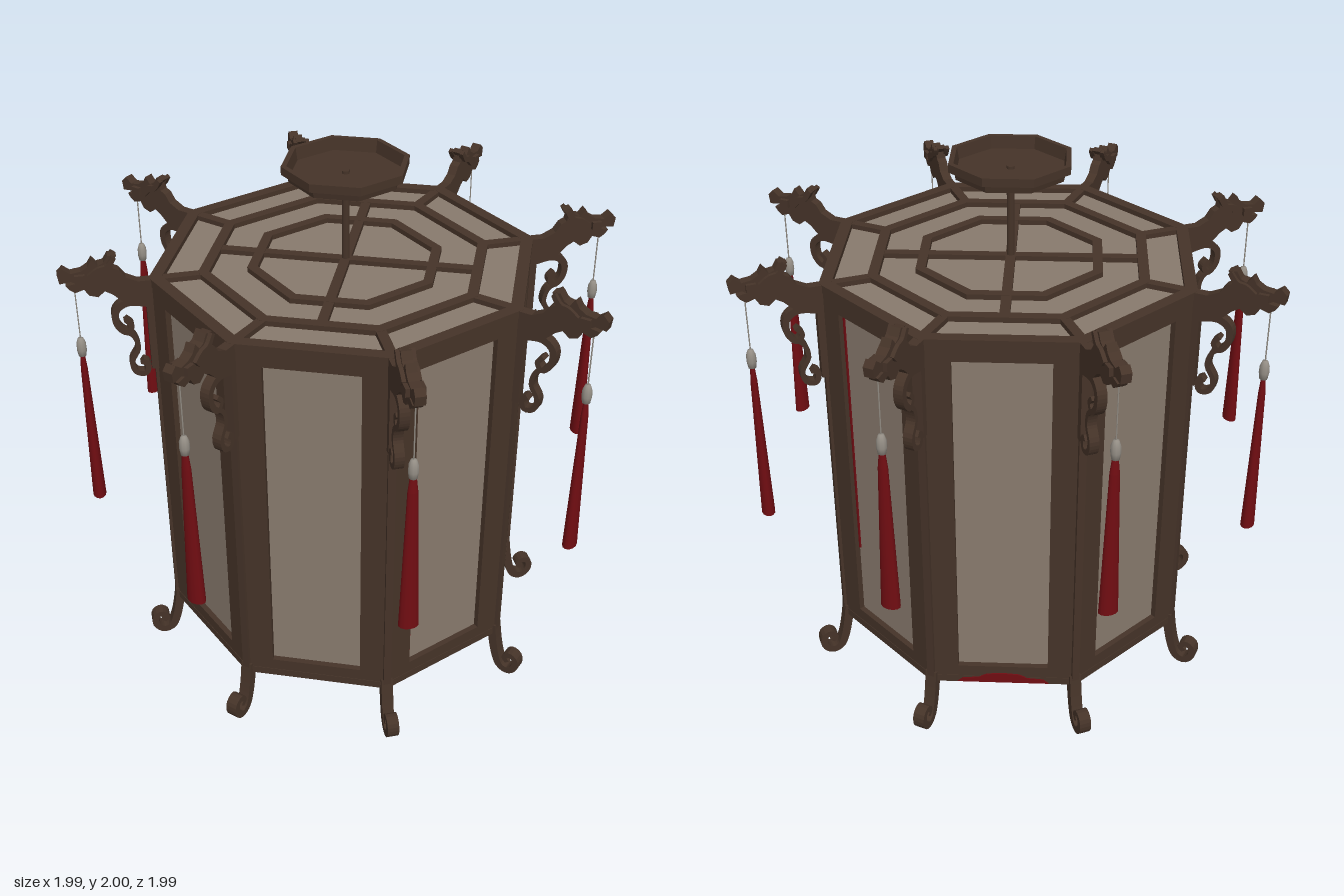
import * as THREE from 'three';

const material = (name, color) => {
  const m = new THREE.MeshStandardMaterial({ color });
  m.name = name;
  return m;
};

export function createModel() {
  const wood = material('dark wood', 0x453328);
  const paper = material('paper pane', 0x887a6d);
  const red = material('red silk', 0x700d12);
  const bead = material('grey bead', 0x958f86);

  const model = new THREE.Group();
  model.name = 'octagonalLantern';
  const STEP = Math.PI / 4;
  const R = 0.7, APOTHEM = R * Math.cos(STEP / 2), HALF = R * Math.sin(STEP / 2);
  const BOTTOM = 0.18, TOP = 1.63;

  // Everything eightfold lives in one turned group; local +x is a corner
  const body = new THREE.Group();
  body.name = 'lanternBody';
  body.rotation.y = -THREE.MathUtils.degToRad(34.8);
  model.add(body);

  const add = (parent, name, geometry, mat, x = 0, y = 0, z = 0) => {
    const mesh = new THREE.Mesh(geometry, mat);
    mesh.name = name;
    mesh.position.set(x, y, z);
    parent.add(mesh);
    return mesh;
  };
  const spoke = (name, k) => {
    const g = new THREE.Group();
    g.name = name;
    g.rotation.y = -k * STEP;
    body.add(g);
    return g;
  };
  const vectors = (pts) => pts.map(([x, y]) => new THREE.Vector2(x, y));
  const octagon = (r) => Array.from({ length: 8 }, (_, i) =>
    new THREE.Vector2(r * Math.cos(i * STEP), r * Math.sin(i * STEP)));
  const slab = (shape, width) => new THREE.ExtrudeGeometry(shape,
    { depth: width, bevelEnabled: false, curveSegments: 10 }).translate(0, 0, -width / 2);

  // Flat scroll: a curve thickened in its plane and extruded sideways
  const scroll = (pts, t0, t1, width, n = 28) => {
    const curve = new THREE.SplineCurve(vectors(pts));
    const a = [], b = [];
    for (let i = 0; i <= n; i++) {
      const u = i / n, p = curve.getPoint(u), d = curve.getTangent(u);
      const h = THREE.MathUtils.lerp(t0, t1, u) / 2;
      a.push(new THREE.Vector2(p.x - d.y * h, p.y + d.x * h));
      b.unshift(new THREE.Vector2(p.x + d.y * h, p.y - d.x * h));
    }
    return slab(new THREE.Shape([...a, ...b]), width);
  };

  // Side frames with recessed panes
  const frameShape = new THREE.Shape(vectors([
    [-HALF, BOTTOM], [HALF, BOTTOM], [HALF, TOP], [-HALF, TOP]]));
  frameShape.holes.push(new THREE.Path(vectors([
    [-0.165, 0.255], [-0.165, 1.55], [0.165, 1.55], [0.165, 0.255]])));
  const frameGeo = slab(frameShape, 0.04).rotateY(Math.PI / 2);
  const paneGeo = new THREE.BoxGeometry(0.008, 1.32, 0.35);
  for (let k = 0; k < 8; k++) {
    const side = spoke('sidePanel', k + 0.5);
    add(side, 'sideFrame', frameGeo, wood, APOTHEM - 0.02);
    add(side, 'sidePane', paneGeo, paper, APOTHEM - 0.025, 0.9025, 0);
    // Small red accents on three of the sides
    if (k === 1) add(side, 'redEdge', new THREE.BoxGeometry(0.006, 0.26, 0.012), red, APOTHEM - 0.019, 0.39, 0.158);
    if (k === 7) add(side, 'redEdge', new THREE.BoxGeometry(0.006, 1.0, 0.008), red, APOTHEM - 0.019, 1.05, 0.16);
    if (k === 6) {
      const arc = new THREE.Shape(vectors([[-0.17, 0.182], [0.17, 0.182], [0.15, 0.2],
        [0.09, 0.205], [0.06, 0.22], [0, 0.225], [-0.06, 0.22], [-0.09, 0.205], [-0.15, 0.2]]));
      add(side, 'redArc', slab(arc, 0.006).rotateY(Math.PI / 2), red, APOTHEM + 0.002);
    }
  }

  // Top and bottom lattices over paper
  const ringGeo = (outer, inner, height) => {
    const s = new THREE.Shape(octagon(outer));
    s.holes.push(new THREE.Path(octagon(inner).reverse()));
    return slab(s, height).rotateX(-Math.PI / 2);
  };
  const lidGeo = slab(new THREE.Shape(octagon(0.67)), 0.008).rotateX(-Math.PI / 2);
  for (const [label, y, paperY] of [['top', TOP - 0.014, TOP - 0.022], ['bottom', BOTTOM + 0.014, BOTTOM + 0.022]]) {
    add(body, label + 'Paper', lidGeo, paper, 0, paperY, 0);
    for (const [outer, inner] of [[0.702, 0.655], [0.53, 0.49], [0.355, 0.318]])
      add(body, label + 'LatticeRing', ringGeo(outer, inner, 0.03), wood, 0, y, 0);
    for (let k = 0; k < 8; k++)
      add(spoke(label + 'OuterSpoke', k), 'latticeBar',
        new THREE.BoxGeometry(0.17, 0.028, 0.035), wood, 0.59, y, 0);
    for (const k of [0.5, 2.5])
      add(spoke(label + 'CrossBar', k), 'latticeBar',
        new THREE.BoxGeometry(0.94, 0.028, 0.035), wood, 0, y, 0);
  }

  // Ceiling rose, open on top, and its rod
  const rose = new THREE.LatheGeometry(vectors([[0, 1.94], [0.2, 1.94], [0.205, 1.965],
    [0.226, 1.97], [0.226, 2], [0.207, 2], [0.2, 1.955], [0, 1.955]]), 8).toNonIndexed();
  rose.computeVertexNormals();
  add(body, 'ceilingRose', rose, wood);
  add(body, 'hangingRod', new THREE.CylinderGeometry(0.014, 0.014, 0.36, 12), wood, 0, 1.785, 0);

  // Carved beast-head arm outline
  const armGeo = slab(new THREE.Shape(vectors([
    [0.67, 1.55], [0.76, 1.545], [0.8, 1.56], [0.83, 1.59], [0.855, 1.605], [0.88, 1.585],
    [0.91, 1.595], [0.925, 1.62], [0.955, 1.61], [0.975, 1.625], [0.985, 1.64], [0.95, 1.645],
    [0.965, 1.655], [1.005, 1.65], [1.01, 1.685], [0.99, 1.705], [0.965, 1.685], [0.93, 1.69],
    [0.905, 1.705], [0.89, 1.73], [0.87, 1.705], [0.85, 1.715], [0.835, 1.74], [0.805, 1.735],
    [0.825, 1.715], [0.82, 1.69], [0.8, 1.68], [0.78, 1.65], [0.74, 1.63], [0.67, 1.63]])), 0.036);
  const eyeGeo = new THREE.BoxGeometry(0.035, 0.03, 0.065);
  const hornGeo = scroll([[0.9, 1.665], [0.87, 1.69], [0.84, 1.7], [0.815, 1.735]], 0.03, 0.016, 0.02, 8);

  // Curled brackets and feet
  const upperScroll = scroll([[0.71, 1.54], [0.78, 1.55], [0.825, 1.52], [0.825, 1.465],
    [0.795, 1.43], [0.775, 1.455], [0.795, 1.48]], 0.03, 0.016, 0.035);
  const lowerScroll = scroll([[0.8, 1.435], [0.77, 1.41], [0.76, 1.36], [0.785, 1.31],
    [0.775, 1.265], [0.74, 1.255], [0.73, 1.29], [0.75, 1.305]], 0.016, 0.022, 0.035);
  const wallStrip = new THREE.BoxGeometry(0.025, 0.3, 0.035);
  const footGeo = scroll([[0.685, 0.22], [0.695, 0.15], [0.71, 0.08], [0.73, 0.032], [0.765, 0.018],
    [0.795, 0.045], [0.795, 0.085], [0.77, 0.1], [0.75, 0.08], [0.765, 0.062]], 0.036, 0.02, 0.044);

  // Hanging tassel parts, wider than deep
  const cordGeo = new THREE.CylinderGeometry(0.0025, 0.0025, 0.22, 6);
  const beadGeo = new THREE.LatheGeometry(vectors([[0, 1.345], [0.014, 1.35], [0.018, 1.375],
    [0.017, 1.4], [0.01, 1.42], [0, 1.422]]), 10);
  const tasselGeo = new THREE.CylinderGeometry(0.018, 0.036, 0.56, 12);
  tasselGeo.scale(0.68, 1, 1);
  const neckGeo = new THREE.CylinderGeometry(0.011, 0.018, 0.06, 12).scale(0.68, 1, 1);

  for (let k = 0; k < 8; k++) {
    const corner = spoke('corner', k);
    add(corner, 'cornerBead', new THREE.BoxGeometry(0.022, TOP - BOTTOM, 0.028), wood, 0.694, (TOP + BOTTOM) / 2, 0);
    add(corner, 'beastHeadArm', armGeo, wood);
    add(corner, 'eyes', eyeGeo, wood, 0.935, 1.665, 0);
    for (const s of [-1, 1]) add(corner, 'horn', hornGeo, wood, 0, 0, s * 0.022);
    add(corner, 'upperScroll', upperScroll, wood);
    add(corner, 'lowerScroll', lowerScroll, wood);
    add(corner, 'scrollBacking', wallStrip, wood, 0.705, 1.42, 0);
    add(corner, 'foot', footGeo, wood);
    const tassel = new THREE.Group();
    tassel.name = 'tassel';
    tassel.position.x = 0.957;
    corner.add(tassel);
    add(tassel, 'cord', cordGeo, bead, 0, 1.52, 0);
    add(tassel, 'bead', beadGeo, bead);
    add(tassel, 'tasselNeck', neckGeo, red, 0, 1.325, 0);
    add(tassel, 'tasselSkirt', tasselGeo, red, 0, 1.015, 0);
  }
  return model;
}
